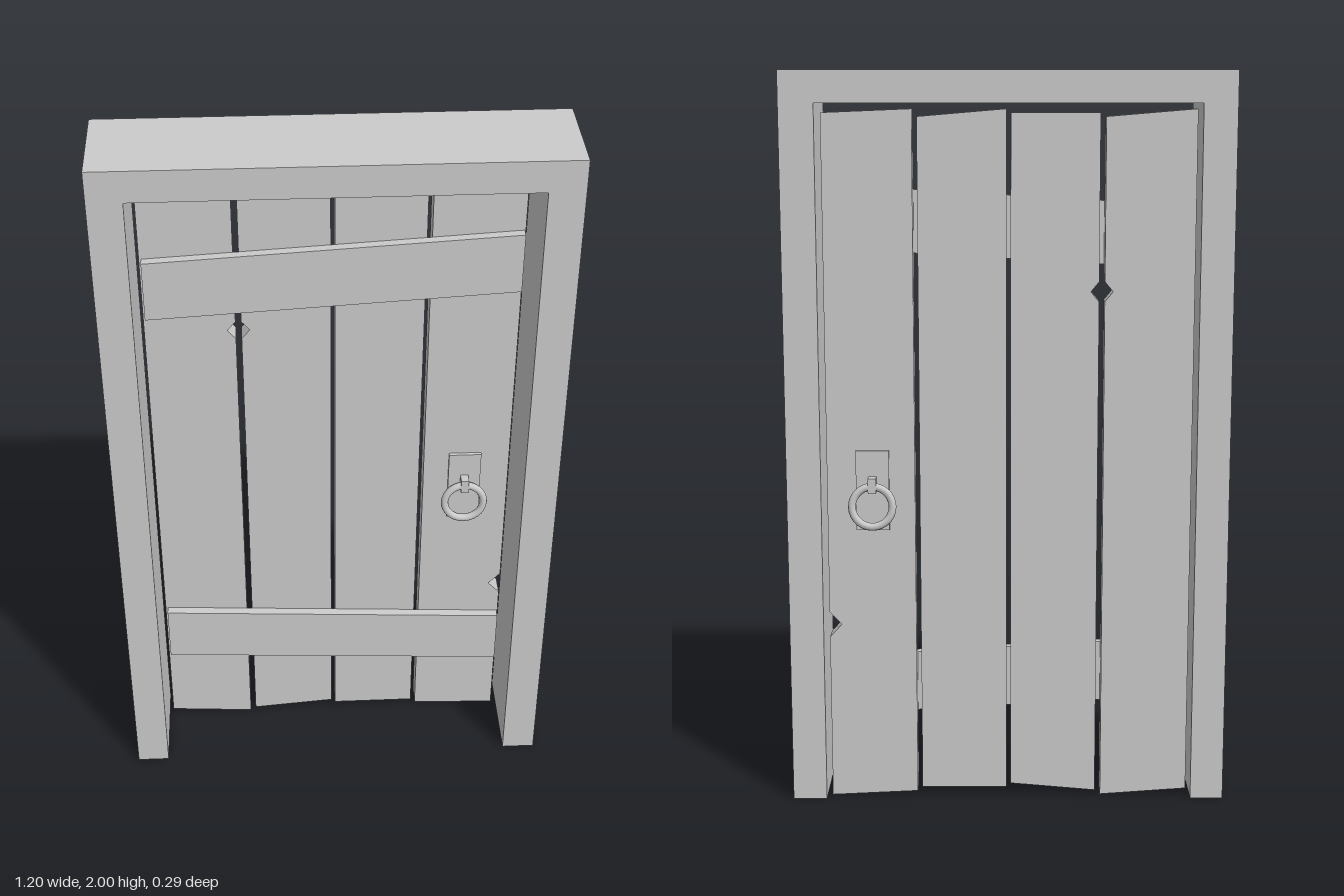
import * as THREE from 'three';

const material = new THREE.MeshStandardMaterial({ color: 0xcccccc });

// Upright slab: an outline in x/y, extruded from z0 to z1
function slab(name, points, z0, z1) {
  const shape = new THREE.Shape(points.map(([x, y]) => new THREE.Vector2(x, y)));
  const geometry = new THREE.ExtrudeGeometry(shape, { depth: z1 - z0, bevelEnabled: false });
  geometry.translate(0, 0, z0);
  const mesh = new THREE.Mesh(geometry, material);
  mesh.name = name;
  return mesh;
}

function part(name, geometry, x, y, z) {
  const mesh = new THREE.Mesh(geometry, material);
  mesh.name = name;
  mesh.position.set(x, y, z);
  return mesh;
}

const BACK = -0.102, FRONT = -0.045; // faces of the planks

// Handle facing +z with its mounting face at z = 0
function createHandle(name) {
  const handle = new THREE.Group();
  handle.name = name;
  handle.add(part('handlePlate', new THREE.BoxGeometry(0.09, 0.22, 0.01), 0, 0.04, 0.005));
  handle.add(part('ringStaple', new THREE.BoxGeometry(0.022, 0.042, 0.034), 0, 0.058, 0.022));
  const ring = part('pullRing', new THREE.TorusGeometry(0.055, 0.0105, 10, 28), 0, 0, 0.031);
  ring.rotation.x = -0.08;
  handle.add(ring);
  return handle;
}

export function createModel() {
  const door = new THREE.Group();
  door.name = 'door';

  // Frame: two jambs joined by a lintel, open at the bottom
  door.add(slab('frame', [
    [-0.6, 0], [-0.51, 0], [-0.51, 1.915], [0.507, 1.915],
    [0.507, 0], [0.6, 0], [0.6, 2], [-0.6, 2],
  ], -0.125, 0.145));

  // Planks with uneven ends; notches are [side, height, depth, half height]
  const planks = [
    { x: [-0.498, -0.258], bottom: [0.02, 0.003], top: [1.9, 1.88], notch: ['right', 1.42, 0.022, 0.027] },
    { x: [-0.243, -0.007], bottom: [0.015, 0.036], top: [1.89, 1.89], notch: ['left', 1.42, 0.022, 0.027] },
    { x: [0.004, 0.24], bottom: [0.026, 0.026], top: [1.9, 1.88] },
    { x: [0.253, 0.492], bottom: [0.014, 0.003], top: [1.9, 1.89], notch: ['right', 0.5, 0.033, 0.036] },
  ];
  planks.forEach(({ x: [l, r], bottom, top, notch }, i) => {
    const right = [], left = [];
    if (notch) {
      const [side, y, d, h] = notch;
      if (side === 'right') right.push([r, y - h], [r - d, y], [r, y + h]);
      else left.push([l, y + h], [l + d, y], [l, y - h]);
    }
    door.add(slab('plank' + (i + 1), [
      [l, bottom[0]], [r, bottom[1]], ...right, [r, top[1]], [l, top[0]], ...left,
    ], BACK, FRONT));
  });

  // Slanted battens across the front of the planks
  const batten = (name, yLeft, yRight) => slab(name, [
    [-0.492, yLeft], [0.489, yRight], [0.489, yRight + 0.17], [-0.492, yLeft + 0.17],
  ], FRONT, -0.02);
  door.add(batten('upperBatten', 1.475, 1.532), batten('lowerBatten', 0.275, 0.22));

  // A ring handle on each side
  const frontHandle = createHandle('frontHandle');
  frontHandle.position.set(0.368, 0.84, FRONT);
  const backHandle = createHandle('backHandle');
  backHandle.position.set(0.368, 0.84, BACK);
  backHandle.rotation.y = Math.PI;
  door.add(frontHandle, backHandle);

  return door;
}
